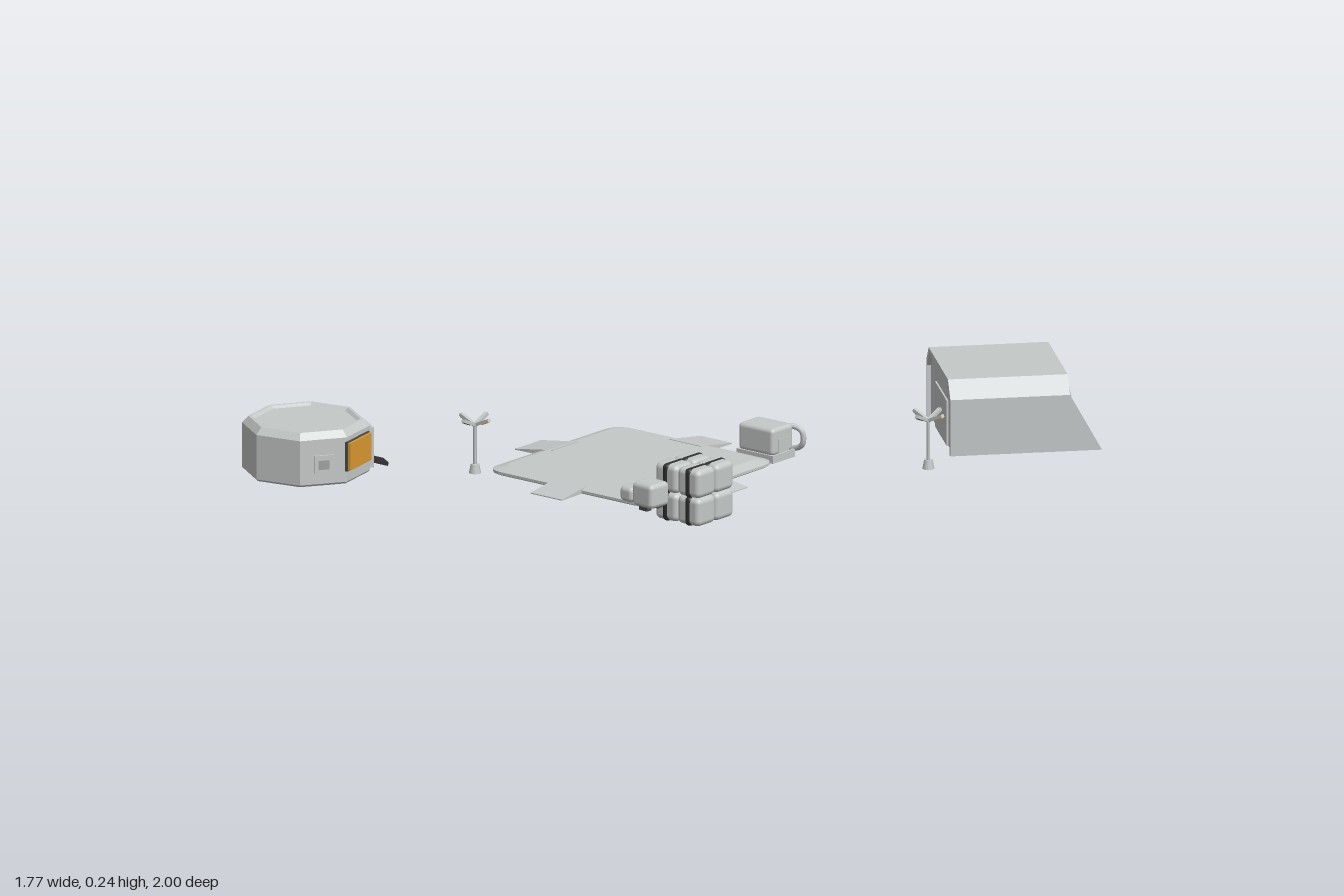
import * as THREE from 'three';
import { RoundedBoxGeometry } from 'three/addons/geometries/RoundedBoxGeometry.js';

const mat = (name, color) => Object.assign(new THREE.MeshStandardMaterial({ color }), { name });
const M = {
  hull: mat('hull grey', 0xc4c8c7),
  trim: mat('trim grey', 0x9da1a0),
  dark: mat('dark metal', 0x4a4b4b),
  strap: mat('strap black', 0x2f3030),
  amber: mat('amber glass', 0xd8982f),
};

// faceted normals baked into the geometry
function flat(geo) {
  const g = geo.index ? geo.toNonIndexed() : geo;
  g.computeVertexNormals();
  return g;
}

function add(parent, name, geo, material, x = 0, y = 0, z = 0) {
  const m = new THREE.Mesh(geo, material);
  m.name = name;
  m.position.set(x, y, z);
  parent.add(m);
  return m;
}

function group(parent, name, x, y, z, turn = 0) {
  const g = new THREE.Group();
  g.name = name;
  g.position.set(x, y, z);
  g.rotation.y = turn;
  parent.add(g);
  return g;
}

const box = (w, h, d) => new THREE.BoxGeometry(w, h, d);
const vec2 = list => list.map(q => new THREE.Vector2(...q));

// square ring with rounded corners
function roundedRing(half, r, y) {
  const pts = [];
  for (let c = 0; c < 4; c++) {
    const sx = c === 0 || c === 3 ? 1 : -1, sz = c < 2 ? -1 : 1;
    for (let i = 0; i <= 3; i++) {
      const a = (c + i / 3) * Math.PI / 2;
      pts.push(new THREE.Vector3(sx * (half - r) + r * Math.cos(a), y, sz * (half - r) - r * Math.sin(a)));
    }
  }
  return pts;
}

// skin through stacked rings, closed at both ends
function loft(rings) {
  const v = [], n = rings[0].length;
  const tri = (...p) => p.forEach(q => v.push(q.x, q.y, q.z));
  for (let k = 0; k < rings.length - 1; k++) {
    const a = rings[k], b = rings[k + 1];
    for (let i = 0; i < n; i++) {
      const j = (i + 1) % n;
      tri(a[i], a[j], b[j]);
      tri(a[i], b[j], b[i]);
    }
  }
  const bottom = rings[0], top = rings[rings.length - 1];
  for (let i = 1; i < n - 1; i++) {
    tri(top[0], top[i], top[i + 1]);
    tri(bottom[0], bottom[i + 1], bottom[i]);
  }
  const g = new THREE.BufferGeometry();
  g.setAttribute('position', new THREE.Float32BufferAttribute(v, 3));
  return flat(g);
}

// landing pad with four sloping ramps
function buildPad(root) {
  const pad = group(root, 'landingPad', -0.008, 0, 0.241);
  add(pad, 'padDeck', loft([
    roundedRing(0.28, 0.04, 0.028), roundedRing(0.286, 0.045, 0.032),
    roundedRing(0.286, 0.045, 0.039), roundedRing(0.252, 0.032, 0.05),
  ]), M.hull);
  for (let i = 0; i < 4; i++) {
    const arm = group(pad, 'ramp', 0, 0, 0, i * Math.PI / 2);
    const s = new THREE.Shape(vec2([[0.235, 0.03], [0.371, 0.028], [0.371, 0.031], [0.235, 0.0515]]));
    const g = new THREE.ExtrudeGeometry(s, { depth: 0.113, bevelEnabled: false });
    g.translate(0, 0, -0.0565);
    add(arm, 'rampPlate', flat(g), M.hull);
  }
}

// shelter: arched shell with raked rear walls and a closed front end
function buildShelter(root) {
  const shelter = group(root, 'shelter', 0.556, 0.03, -0.674, -0.72);
  const h = 0.21, len = 0.336, t = 0.012, eave = 0.162;
  const arch = (w, top, c) => [[-w, 0], [-w, top - 0.048], [-w + c, top], [w - c, top], [w, top - 0.048], [w, 0]];
  const toShape = list => new THREE.Shape(vec2(list));
  const outer = arch(0.207, h, 0.042), inner = arch(0.207 - t, h - t, 0.038);
  const shell = new THREE.ExtrudeGeometry(toShape([...outer, ...inner.reverse()]), { depth: len, bevelEnabled: false });
  const p = shell.attributes.position;
  for (let i = 0; i < p.count; i++) {
    const rake = p.getZ(i) < 0.001 ? 0.09 * Math.max(0, 1 - p.getY(i) / eave) : 0;
    p.setZ(i, p.getZ(i) - len / 2 - rake);
  }
  add(shelter, 'shelterShell', flat(shell), M.hull);
  const end = new THREE.ExtrudeGeometry(toShape(arch(0.196, h - 0.01, 0.039)), { depth: 0.01, bevelEnabled: false });
  add(shelter, 'shelterEndWall', flat(end), M.hull, 0, 0, len / 2 - 0.022);
  add(shelter, 'shelterDoor', box(0.2, 0.13, 0.006), M.hull, 0, 0.065, len / 2 - 0.01);
}

// eight-sided habitat with windows, entry and service hatch
function buildHabitat(root) {
  const hab = group(root, 'habitat', -0.7, 0, 0.82);
  const start = -11 * Math.PI / 180, side = Math.PI / 4, apothem = 0.1645;
  const profile = [[0, 0.026], [0.172, 0.026], [0.178, 0.032], [0.178, 0.16], [0.16, 0.179],
    [0.152, 0.179], [0.142, 0.172], [0, 0.172]];
  add(hab, 'habitatBody', flat(new THREE.LatheGeometry(vec2(profile), 8, start)), M.hull);
  const face = (name, k) => group(hab, name, 0, 0, 0, start + (k + 0.5) * side);
  // double window wrapping a corner
  const band = [[0.17, 0.066], [0.186, 0.066], [0.189, 0.07], [0.189, 0.14], [0.186, 0.144], [0.17, 0.144]];
  add(hab, 'cornerWindow', flat(new THREE.LatheGeometry(vec2(band), 2, start + 4 * side, 2 * side)), M.amber);
  // single window
  const single = face('window', 2);
  add(single, 'windowFrame', box(0.13, 0.085, 0.008), M.dark, -0.007, 0.105, apothem + 0.001);
  add(single, 'windowPane', box(0.124, 0.078, 0.014), M.amber, -0.008, 0.105, apothem + 0.006);
  // entry porch and its ramp
  const entry = face('entry', 3);
  add(entry, 'entryPorch', box(0.085, 0.115, 0.03), M.hull, 0, 0.088, apothem + 0.005);
  add(entry, 'entryDoor', box(0.05, 0.085, 0.006), M.dark, 0, 0.082, apothem + 0.02);
  add(entry, 'entryRamp', box(0.05, 0.01, 0.05), M.strap, 0, 0.038, apothem + 0.043).rotation.x = 0.3;
  // service hatch
  const service = face('serviceHatch', 1);
  add(service, 'hatchBox', box(0.055, 0.05, 0.01), M.hull, 0, 0.09, apothem + 0.002);
  add(service, 'hatchPanel', box(0.032, 0.026, 0.006), M.trim, 0, 0.088, apothem + 0.006);
}

// strapped stack of eight soft crates
function buildCargo(root) {
  const cargo = group(root, 'cargo', 0.378, 0.0825, 0.435);
  const soft = new RoundedBoxGeometry(0.08, 0.081, 0.079, 3, 0.016);
  const band = new RoundedBoxGeometry(0.026, 0.084, 0.083, 3, 0.0125);
  for (const x of [-0.04, 0.04])
    for (const y of [-0.0405, 0.0405])
      for (const z of [-0.0395, 0.0395]) {
        add(cargo, 'crate', soft, M.hull, x, y, z);
        add(cargo, 'crateStrap', band, M.strap, x, y, z);
      }
}

// small hovering service unit
function buildDrone(root) {
  const d = group(root, 'serviceUnit', 0.35, 0.107, 0.619, -0.08);
  add(d, 'unitBody', new RoundedBoxGeometry(0.078, 0.07, 0.076, 2, 0.014), M.hull, 0.024, 0.004, 0);
  add(d, 'unitNeck', box(0.03, 0.03, 0.044), M.dark, -0.022, -0.008, 0);
  add(d, 'unitHead', new RoundedBoxGeometry(0.05, 0.044, 0.06, 2, 0.014), M.hull, -0.046, -0.008, 0);
  add(d, 'unitLens', box(0.006, 0.02, 0.032), M.amber, -0.07, -0.014, 0);
  for (const s of [-1, 1]) add(d, 'unitThruster', box(0.03, 0.012, 0.018), M.dark, 0.024, -0.034, s * 0.022);
}

// generator with a low hose rising at one end
function buildGenerator(root) {
  const g = group(root, 'generator', 0.188, 0, -0.107);
  add(g, 'generatorBase', box(0.13, 0.022, 0.096), M.hull, 0, 0.034, 0);
  add(g, 'generatorBody', new RoundedBoxGeometry(0.126, 0.078, 0.092, 2, 0.012), M.hull, 0, 0.081, 0);
  add(g, 'generatorPanel', box(0.006, 0.04, 0.045), M.hull, 0.062, 0.068, 0);
  const path = new THREE.CatmullRomCurve3([[-0.055, 0.042, -0.01], [-0.084, 0.04, -0.025], [-0.084, 0.038, -0.06],
    [-0.05, 0.038, -0.078], [0.045, 0.038, -0.078], [0.07, 0.055, -0.076], [0.07, 0.09, -0.074],
    [0.045, 0.104, -0.065], [0.02, 0.1, -0.04]].map(q => new THREE.Vector3(...q)));
  add(g, 'generatorHose', new THREE.TubeGeometry(path, 48, 0.008, 8), M.hull);
}

// mast with four raised lamp arms
function buildMast(root, x, y, z) {
  const m = group(root, 'lampMast', x, y, z);
  add(m, 'mastBlock', new THREE.CylinderGeometry(0.012, 0.017, 0.026, 8), M.hull, 0, 0.013, 0);
  add(m, 'mastPole', new THREE.CylinderGeometry(0.005, 0.005, 0.13, 8), M.hull, 0, 0.08, 0);
  for (let i = 0; i < 4; i++) {
    const turn = group(m, 'lampArm', 0, 0.138, 0, i * Math.PI / 2);
    const tilt = group(turn, 'lampTilt', 0, 0, 0);
    tilt.rotation.z = 0.42;
    add(tilt, 'armBar', box(0.056, 0.009, 0.012), M.hull, 0.028, 0, 0);
    add(tilt, 'armLamp', box(0.024, 0.003, 0.009), i ? M.dark : M.amber, 0.04, -0.005, 0);
  }
}

export function createModel() {
  const root = new THREE.Group();
  root.name = 'outpost';
  buildPad(root);
  buildShelter(root);
  buildHabitat(root);
  buildCargo(root);
  buildDrone(root);
  buildGenerator(root);
  buildMast(root, -0.315, 0.029, 0.55);
  buildMast(root, 0.675, 0.05, -0.225);
  return root;
}
